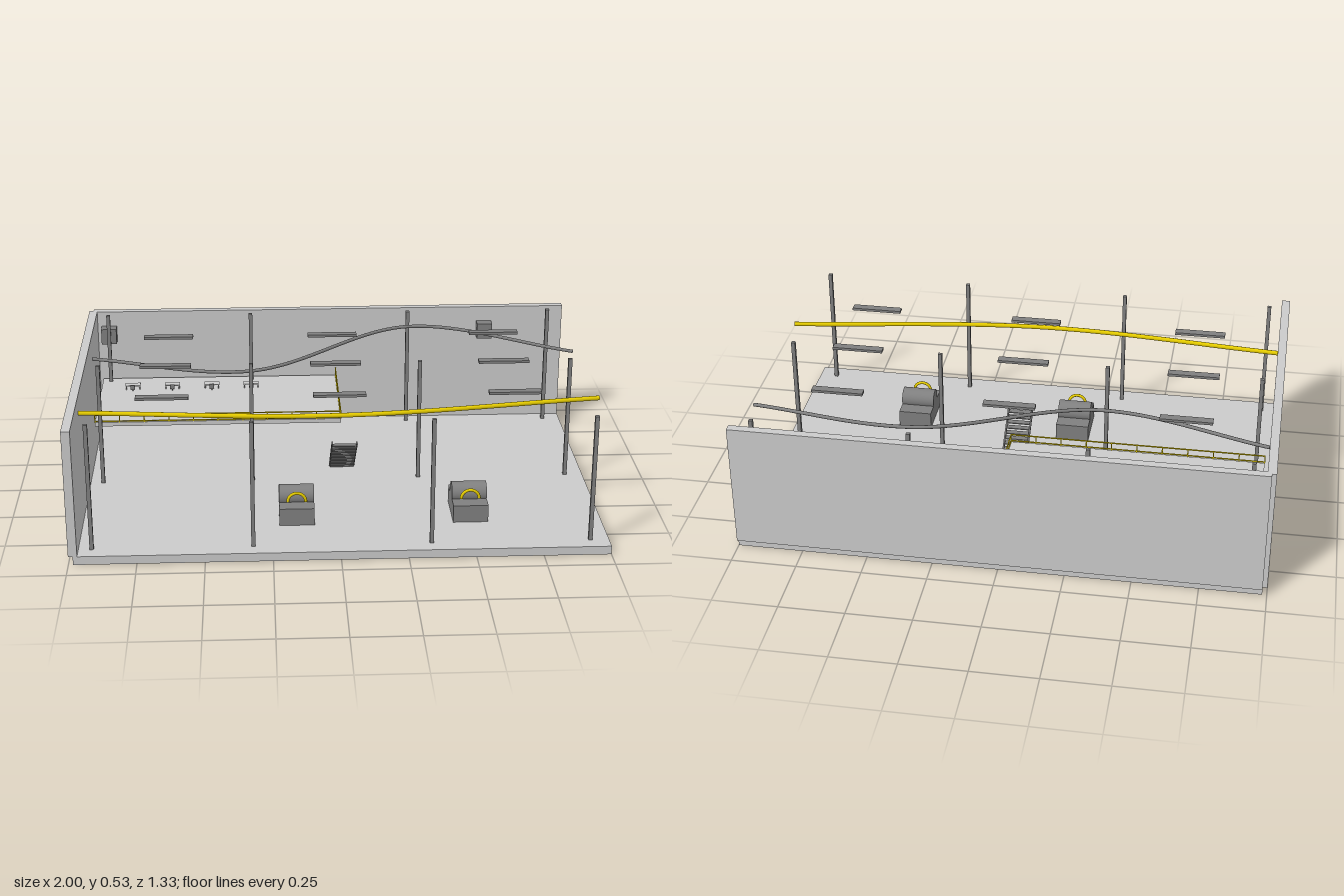
import * as THREE from 'three';

const grey = new THREE.MeshStandardMaterial({ color: 0xcccccc });
const steel = new THREE.MeshStandardMaterial({ color: 0x808080 });
const yellow = new THREE.MeshStandardMaterial({ color: 0xe6cc00 });

export function createModel() {
  const model = new THREE.Group();

  const add = (name, geometry, material, parent = model) => {
    const mesh = new THREE.Mesh(geometry, material);
    mesh.name = name;
    parent.add(mesh);
    return mesh;
  };
  // Box given by its extents on each axis
  const box = (name, [x0, x1], [y0, y1], [z0, z1], material, parent) => {
    const mesh = add(name, new THREE.BoxGeometry(x1 - x0, y1 - y0, z1 - z0), material, parent);
    mesh.position.set((x0 + x1) / 2, (y0 + y1) / 2, (z0 + z1) / 2);
    return mesh;
  };
  const around = (centre, size) => [centre - size / 2, centre + size / 2];
  const group = (name) => {
    const g = new THREE.Group();
    g.name = name;
    model.add(g);
    return g;
  };

  // Floor slab and two walls
  const floorTop = 0.033, roof = 0.528;
  box('floor', [-0.983, 1], [0, floorTop], [-0.65, 0.667], grey);
  box('backWall', [-0.983, 1], [floorTop, roof], [-0.667, -0.635], grey);
  box('sideWall', [-1, -0.967], [floorTop, roof], [-0.65, 0.667], grey);

  // Grid of columns
  const columns = group('columns');
  for (const x of [-0.918, -0.323, 0.338, 0.93])
    for (const z of [-0.588, 0.008, 0.604])
      box('column', around(x, 0.015), [floorTop, roof], around(z, 0.015), steel, columns);

  // Ceiling lamps
  const lamps = group('ceilingLamps');
  for (const x of [-0.655, 0.008, 0.667])
    for (const z of [-0.325, 0.008, 0.34])
      box('lamp', around(x, 0.198), [0.518, roof], around(z, 0.033), steel, lamps);

  // Mezzanine platform
  const deck = { x0: -0.952, x1: 0.035, z0: -0.618, z1: -0.126, top: 0.235 };
  box('mezzanine', [deck.x0, deck.x1], [0.218, deck.top], [deck.z0, deck.z1], grey);

  // Guard rails along the front and the open side
  const rails = group('guardRails');
  const t = 0.004;
  for (const y of [0.24, 0.267]) {
    box('frontRail', [deck.x0, deck.x1], around(y, t), around(deck.z1, t), yellow, rails);
    box('sideRail', around(deck.x1, t), around(y, t), [deck.z0, deck.z1], yellow, rails);
  }
  for (let i = 0; i <= 10; i++) {
    const x = THREE.MathUtils.lerp(deck.x0, deck.x1, i / 10);
    box('railPost', around(x, t), [deck.top, 0.267], around(deck.z1, t), yellow, rails);
  }
  for (let i = 0; i < 5; i++) {
    const z = THREE.MathUtils.lerp(deck.z0, deck.z1, i / 5);
    box('railPost', around(deck.x1, t), [deck.top, 0.267], around(z, t), yellow, rails);
  }

  // Row of desks with chairs
  const desks = group('desks');
  for (let i = 0; i < 4; i++) {
    const x = -0.82 + i * 0.165;
    box('deskTop', around(x, 0.063), [0.251, 0.255], [-0.51, -0.477], grey, desks);
    for (const side of [-1, 1])
      box('deskLeg', around(x + side * 0.028, 0.004), [deck.top, 0.251], [-0.505, -0.482], grey, desks);
    box('chairSeat', around(x, 0.018), [0.244, 0.248], [-0.476, -0.46], steel, desks);
    box('chairBack', around(x, 0.018), [0.248, 0.263], [-0.464, -0.46], steel, desks);
    box('chairPost', around(x, 0.004), [deck.top, 0.244], around(-0.468, 0.004), steel, desks);
  }

  // Staircase: two sloping stringers with treads between them
  const stairs = group('staircase');
  const low = new THREE.Vector2(-0.118, 0.036), high = new THREE.Vector2(0.126, 0.235);
  const run = high.clone().sub(low);
  for (const x of [-0.01, 0.086]) {
    const stringer = add('stringer', new THREE.BoxGeometry(0.006, 0.012, run.length()), steel, stairs);
    stringer.position.set(x, (low.y + high.y) / 2, (low.x + high.x) / 2);
    stringer.rotation.x = -Math.atan2(run.y, run.x);
  }
  for (let i = 0; i < 14; i++) {
    const p = low.clone().lerp(high, (i + 0.5) / 14);
    box('tread', [-0.01, 0.086], around(p.y - 0.005, 0.004), around(p.x + 0.003, 0.024), steel, stairs);
  }

  // Machines: base, drum and guard arch
  for (const x of [-0.157, 0.502]) {
    const machine = group('machine');
    box('machineBase', around(x, 0.133), [floorTop, 0.101], [0.242, 0.438], steel, machine);
    const drum = add('drum', new THREE.CylinderGeometry(0.04, 0.04, 0.133, 32), steel, machine);
    drum.rotation.z = Math.PI / 2;
    drum.position.set(x, 0.117, 0.34);
    const arch = add('guardArch', new THREE.TorusGeometry(0.034, 0.006, 10, 24, Math.PI), yellow, machine);
    arch.position.set(x, 0.117, 0.405);
  }

  // Overhead pipe and cable run
  const tube = (name, points, radius, material) => {
    const curve = new THREE.CatmullRomCurve3(points.map((p) => new THREE.Vector3(...p)));
    add(name, new THREE.TubeGeometry(curve, 64, radius, 10), material);
    // Flat discs close both ends
    for (const end of [0, 1]) {
      const cap = add(name + 'End', new THREE.CircleGeometry(radius, 10), material);
      cap.position.copy(curve.getPointAt(end));
      cap.lookAt(cap.position.clone().addScaledVector(curve.getTangentAt(end), end ? 1 : -1));
    }
  };
  tube('overheadPipe', [[-0.967, 0.464, 0.335], [0, 0.464, 0.4], [1, 0.464, 0.268]], 0.009, yellow);
  tube('cableRun', [[-0.967, 0.433, -0.325], [-0.323, 0.433, -0.16],
    [0.338, 0.495, -0.49], [1, 0.433, -0.328]], 0.007, steel);

  // Boxes mounted on the back wall
  for (const x of [-0.919, 0.667])
    box('wallUnit', around(x, 0.063), [0.4, 0.465], [-0.64, -0.59], steel);

  return model;
}
